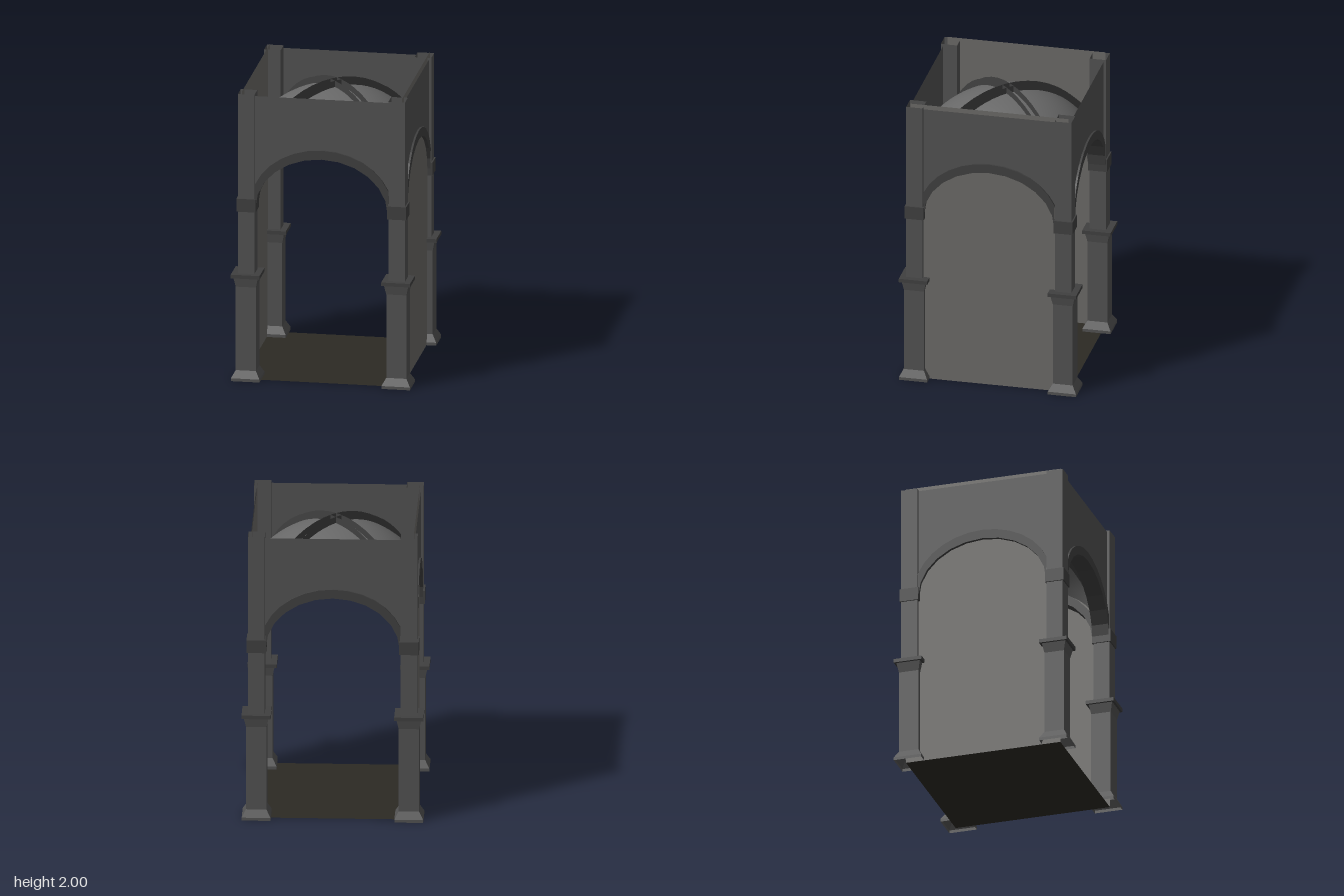
import * as THREE from 'three';

const material = (color, flatShading) =>
  new THREE.MeshStandardMaterial({ color, flatShading, side: THREE.DoubleSide });
const stone = material(0x525252, true);
const trim = material(0x404040, true);
const vaultStone = material(0x686868, false);
const panelMat = material(0x6b6a67, true);
const floorMat = material(0x2c2a24, true);

const PILLAR = 0.507;              // pillar centre offset
const WALL = 0.547;                // wall plane offset
const PANEL = 0.538;               // side panel and floor half size
const DOME_Y = 1.22, DOME_R = 0.685;

function addMesh(parent, name, geometry, mat) {
  const mesh = new THREE.Mesh(geometry, mat);
  mesh.name = name;
  parent.add(mesh);
  return mesh;
}

// Grid surface from a rule f(u, v) -> [x, y, z], u and v in 0..1
function surface(nu, nv, f) {
  const pos = [], index = [];
  for (let i = 0; i <= nu; i++)
    for (let j = 0; j <= nv; j++) pos.push(...f(i / nu, j / nv));
  for (let i = 0; i < nu; i++)
    for (let j = 0; j < nv; j++) {
      const a = i * (nv + 1) + j, b = a + nv + 1;
      index.push(a, a + 1, b, b, a + 1, b + 1);
    }
  const g = new THREE.BufferGeometry();
  g.setAttribute('position', new THREE.Float32BufferAttribute(pos, 3));
  g.setIndex(index);
  g.computeVertexNormals();
  return g;
}

// Square section stack: [half width, height] pairs, open at both ends
function squareProfile(points) {
  const pts = points.map(([h, y]) => new THREE.Vector2(h * Math.SQRT2, y));
  return new THREE.LatheGeometry(pts, 4, Math.PI / 4);
}

function createPillar() {
  const pillar = new THREE.Group();
  pillar.name = 'pillar';
  addMesh(pillar, 'pedestal', squareProfile([
    [0.096, 0], [0.096, 0.02], [0.068, 0.07], [0.068, 0.65], [0.082, 0.715],
  ]), stone);
  addMesh(pillar, 'pedestalCap', squareProfile([
    [0.08, 0.715], [0.097, 0.715], [0.097, 0.74], [0.056, 0.74],
  ]), trim);
  addMesh(pillar, 'shaft', squareProfile([[0.056, 0.74], [0.056, 1.985]]), stone);
  addMesh(pillar, 'capital', new THREE.BoxGeometry(0.13, 0.09, 0.13), trim).position.y = 1.215;
  return pillar;
}

// Arch curves, t runs 0..1 from left to right
function outerArch(t) {
  const a = Math.PI * (0.885 - 0.77 * t);
  return [0.48 * Math.cos(a), 1.22 + 0.4 * Math.sin(a)];
}
function innerArch(t) {
  const a = Math.PI * (1 - t);
  return [0.445 * Math.cos(a), 1.2 + 0.358 * Math.sin(a)];
}

// One side: thin wall above a deep arch ring
function createArchWall() {
  const side = new THREE.Group();
  side.name = 'archWall';
  const n = 12;
  addMesh(side, 'wall', surface(n, 1, (u, v) => {
    const [x, y] = outerArch(u);
    return [x, v ? 1.972 : y, WALL];
  }), stone);
  const section = [[outerArch, 0.56], [innerArch, 0.56], [innerArch, 0.445], [outerArch, 0.445], [outerArch, 0.56]];
  addMesh(side, 'archRing', surface(n, 4, (u, v) => {
    const [curve, z] = section[Math.round(v * 4)];
    return [...curve(u), z];
  }), trim);
  return side;
}

// Sail vault: spherical patch with gently bowed edges
function createVault() {
  return surface(28, 28, (u, v) => {
    const a = 2 * u - 1, b = 2 * v - 1;
    const x = 0.48 * a * (1 + 0.132 * (1 - b * b));
    const z = 0.48 * b * (1 + 0.132 * (1 - a * a));
    return [x, DOME_Y + Math.sqrt(Math.max(0, DOME_R ** 2 - x * x - z * z)), z];
  });
}

// Diagonal rib: an open channel that stands just above the vault
function createRib() {
  const w = 0.027, low = DOME_R - 0.004, high = DOME_R + 0.043;
  const section = [[high, -w], [low, -w], [low, w], [high, w]];
  return surface(24, 3, (u, v) => {
    const a = (u - 0.5) * 2 * 1.42;
    const [r, z] = section[Math.round(v * 3)];
    return [r * Math.sin(a), DOME_Y + r * Math.cos(a), z];
  });
}

export function createModel() {
  const model = new THREE.Group();
  model.name = 'archedPavilion';

  // Corner pillars
  for (const x of [-1, 1])
    for (const z of [-1, 1]) {
      const pillar = createPillar();
      pillar.position.set(x * PILLAR, 0, z * PILLAR);
      model.add(pillar);
    }

  // Arched walls on all four sides
  for (let i = 0; i < 4; i++) {
    const wall = createArchWall();
    wall.rotation.y = i * Math.PI / 2;
    model.add(wall);
  }

  // Vault with crossing ribs
  addMesh(model, 'vault', createVault(), vaultStone);
  for (const s of [-1, 1])
    addMesh(model, 'vaultRib', createRib(), trim).rotation.y = s * Math.PI / 4;

  // Closing panels on the two flanks
  for (const s of [-1, 1]) {
    const panel = addMesh(model, 'sidePanel', new THREE.PlaneGeometry(2 * PANEL, 2), panelMat);
    panel.rotation.y = s * Math.PI / 2;
    panel.position.set(s * PANEL, 1, 0);
  }

  // Floor
  const floor = addMesh(model, 'floor', new THREE.PlaneGeometry(2 * PANEL, 2 * PANEL), floorMat);
  floor.rotation.x = -Math.PI / 2;
  return model;
}
